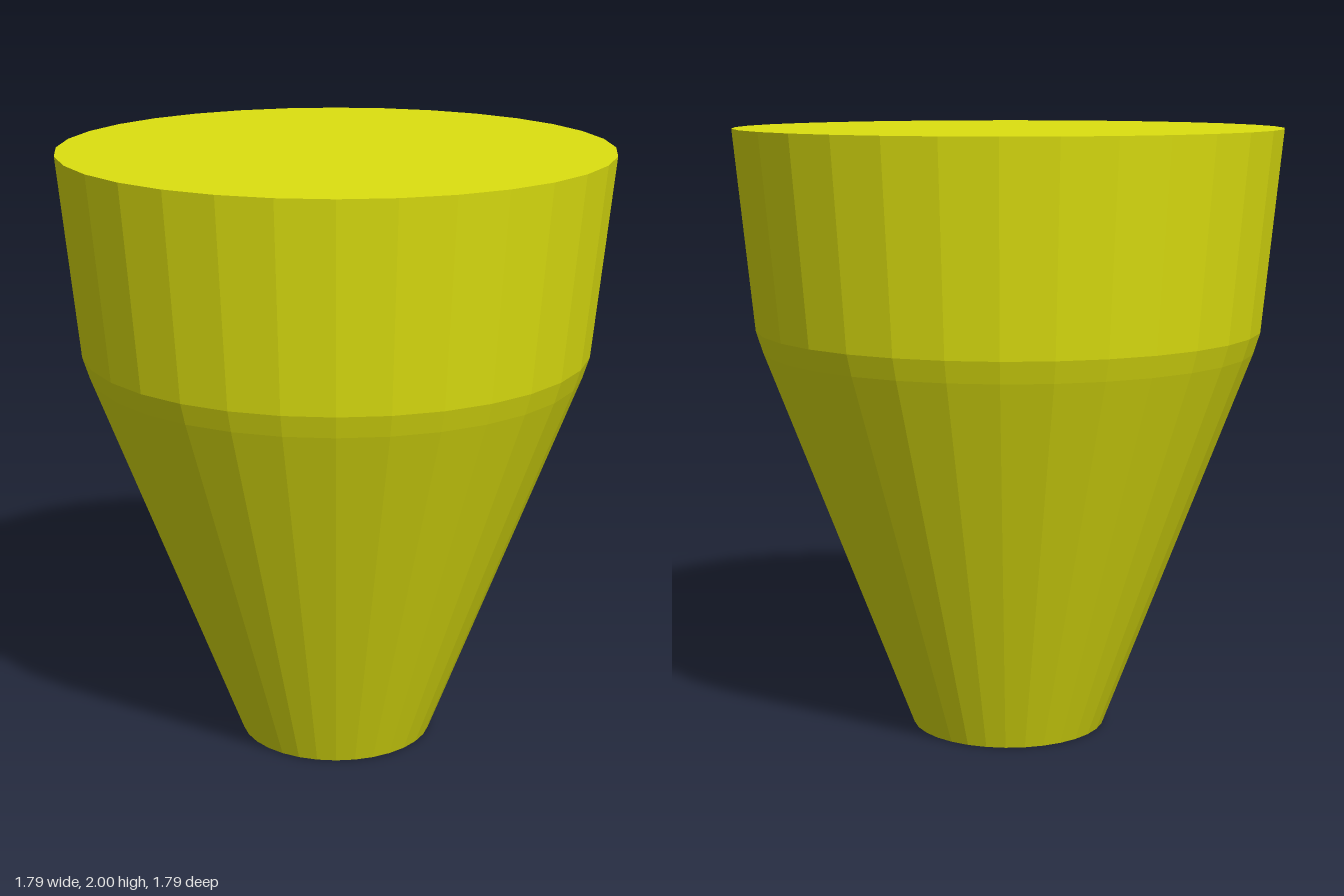
import * as THREE from 'three';

export function createModel() {
  const group = new THREE.Group();
  group.name = 'taperedPlug';

  // Closed solid of revolution: base disc, steep cone, narrow bevel, flared collar, top disc
  const profile = [
    [0, 0], [0.324, 0], [0.81, 1.28], [0.832, 1.35], [0.895, 2], [0, 2],
  ].map(([r, y]) => new THREE.Vector2(r, y));

  const body = new THREE.Mesh(
    new THREE.LatheGeometry(profile, 32),
    new THREE.MeshStandardMaterial({ color: 0xdde010, flatShading: true }),
  );
  body.name = 'body';
  group.add(body);

  return group;
}
